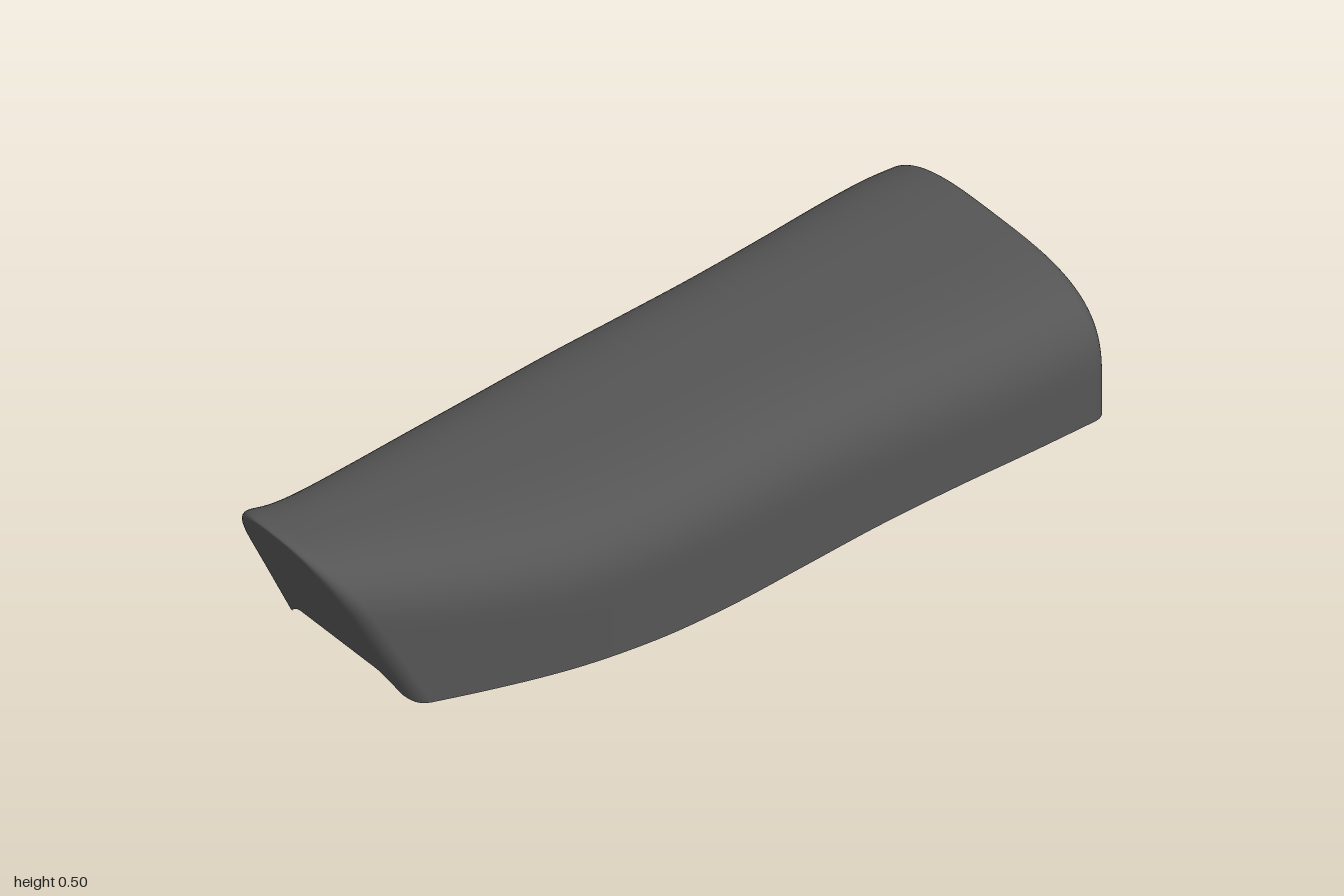
import * as THREE from 'three';

// Smooth interpolation through [position, value] pairs
function curve(pts) {
  const n = pts.length;
  const slope = pts.map((_, i) => {
    const a = pts[Math.max(i - 1, 0)], b = pts[Math.min(i + 1, n - 1)];
    return (b[1] - a[1]) / (b[0] - a[0]);
  });
  return (x) => {
    const c = THREE.MathUtils.clamp(x, pts[0][0], pts[n - 1][0]);
    let i = 0;
    while (i < n - 2 && c > pts[i + 1][0]) i++;
    const h = pts[i + 1][0] - pts[i][0], t = (c - pts[i][0]) / h, t2 = t * t, t3 = t2 * t;
    return (2 * t3 - 3 * t2 + 1) * pts[i][1] + (t3 - 2 * t2 + t) * h * slope[i]
      + (3 * t2 - 2 * t3) * pts[i + 1][1] + (t3 - t2) * h * slope[i + 1];
  };
}

// Half width, top line and lower rim along the length
const halfWidth = curve([[-1, 0.411], [-0.8, 0.409], [-0.6, 0.393], [-0.4, 0.376], [-0.2, 0.367], [0, 0.365],
  [0.2, 0.357], [0.4, 0.335], [0.6, 0.291], [0.8, 0.237], [0.9, 0.211], [1, 0.195]]);
const topLine = curve([[-1, 0.501], [-0.9, 0.499], [-0.8, 0.488], [-0.6, 0.466], [-0.4, 0.447], [-0.2, 0.428],
  [0, 0.405], [0.2, 0.382], [0.4, 0.37], [0.6, 0.373], [0.8, 0.386], [0.9, 0.401], [1, 0.428]]);
const rimLine = curve([[-1, 0.175], [-0.8, 0.157], [-0.6, 0.13], [-0.4, 0.096], [-0.2, 0.06], [0, 0.031],
  [0.2, 0.013], [0.5, 0.004], [0.8, 0.002]]);

function seatShellGeometry() {
  const smooth = THREE.MathUtils.smoothstep, lerp = THREE.MathUtils.lerp;

  // Rows run from the back wall, over the body, down the sloping nose
  const rows = [];
  const capSteps = 8, roundSteps = 8, bodySteps = 56, backR = 0.035, noseR = 0.05;
  for (let i = 0; i < capSteps; i++) rows.push({ s: -1, side: backR, top: backR, flat: 1 - i / capSteps });
  for (let i = 0; i < roundSteps; i++) {
    const a = (i / roundSteps) * Math.PI / 2, inset = backR * (1 - Math.sin(a));
    rows.push({ s: -1 + backR * (1 - Math.cos(a)), side: inset, top: inset, flat: 0 });
  }
  for (let i = 0; i <= bodySteps; i++) {
    rows.push({ s: lerp(-1 + backR, 1 - noseR, i / bodySteps), side: 0, top: 0, flat: 0 });
  }
  for (let i = 1; i <= roundSteps; i++) {
    const a = (i / roundSteps) * Math.PI / 2, k = 1 - Math.cos(a);
    rows.push({ s: 1 - noseR * (1 - Math.sin(a)), side: 0.04 * k, top: 0.016 * k, flat: 0 });
  }
  for (let i = 1; i <= capSteps; i++) rows.push({ s: 1, side: 0.04, top: 0.016, flat: i / capSteps });

  // Each row is an arch: straight side walls and a superelliptic crown
  const wall = 8, crown = 22, half = wall + crown, cols = 2 * half + 1;
  const position = [], index = [];
  for (const { s, side, top, flat } of rows) {
    const T = topLine(s);
    const lean = 0.53 * smooth(s, 0.1, 1);
    const front = smooth(s, -0.6, 0.9);
    const power = lerp(3.2, 2.6, front);
    const height = lerp(0.25, 0.19, front);
    const zAt = (y) => s - lean * (T - y);
    const base = rimLine(zAt(0.05));
    // The nose rim is scooped up in the middle
    const rimAt = (x) => base + 0.056 * smooth(s, 0.93, 1) * (1 - smooth(Math.abs(x), 0.14, 0.245));
    const rim = rimAt(halfWidth(zAt(base)) - side);
    const shoulder = T - height;
    for (let j = 0; j < cols; j++) {
      const k = Math.min(j, cols - 1 - j), sign = j <= half ? 1 : -1;
      let y, f = 1;
      if (k < wall) y = lerp(rim, shoulder, k / wall);
      else {
        const a = ((k - wall) / crown) * Math.PI / 2;
        y = shoulder + (height - top) * Math.pow(Math.sin(a), 2 / power);
        f = k === half ? 0 : Math.pow(Math.cos(a), 2 / power);
      }
      const x = sign * f * (halfWidth(zAt(y)) - side);
      y = lerp(y, Math.min(y, rimAt(x)), flat);
      position.push(x, y, zAt(y));
    }
  }
  for (let i = 0; i < rows.length - 1; i++) {
    for (let j = 0; j < cols - 1; j++) {
      const a = i * cols + j, b = a + 1, c = a + cols, d = c + 1;
      index.push(a, b, c, b, d, c);
    }
  }
  const geometry = new THREE.BufferGeometry();
  geometry.setAttribute('position', new THREE.Float32BufferAttribute(position, 3));
  geometry.setIndex(index);
  geometry.computeVertexNormals();
  return geometry;
}

export function createModel() {
  const group = new THREE.Group();
  group.name = 'seat';
  const material = new THREE.MeshStandardMaterial({ color: 0x555555, side: THREE.DoubleSide });
  material.name = 'dark grey';
  // Hollow saddle cover, open underneath
  const shell = new THREE.Mesh(seatShellGeometry(), material);
  shell.name = 'seatShell';
  group.add(shell);
  return group;
}
